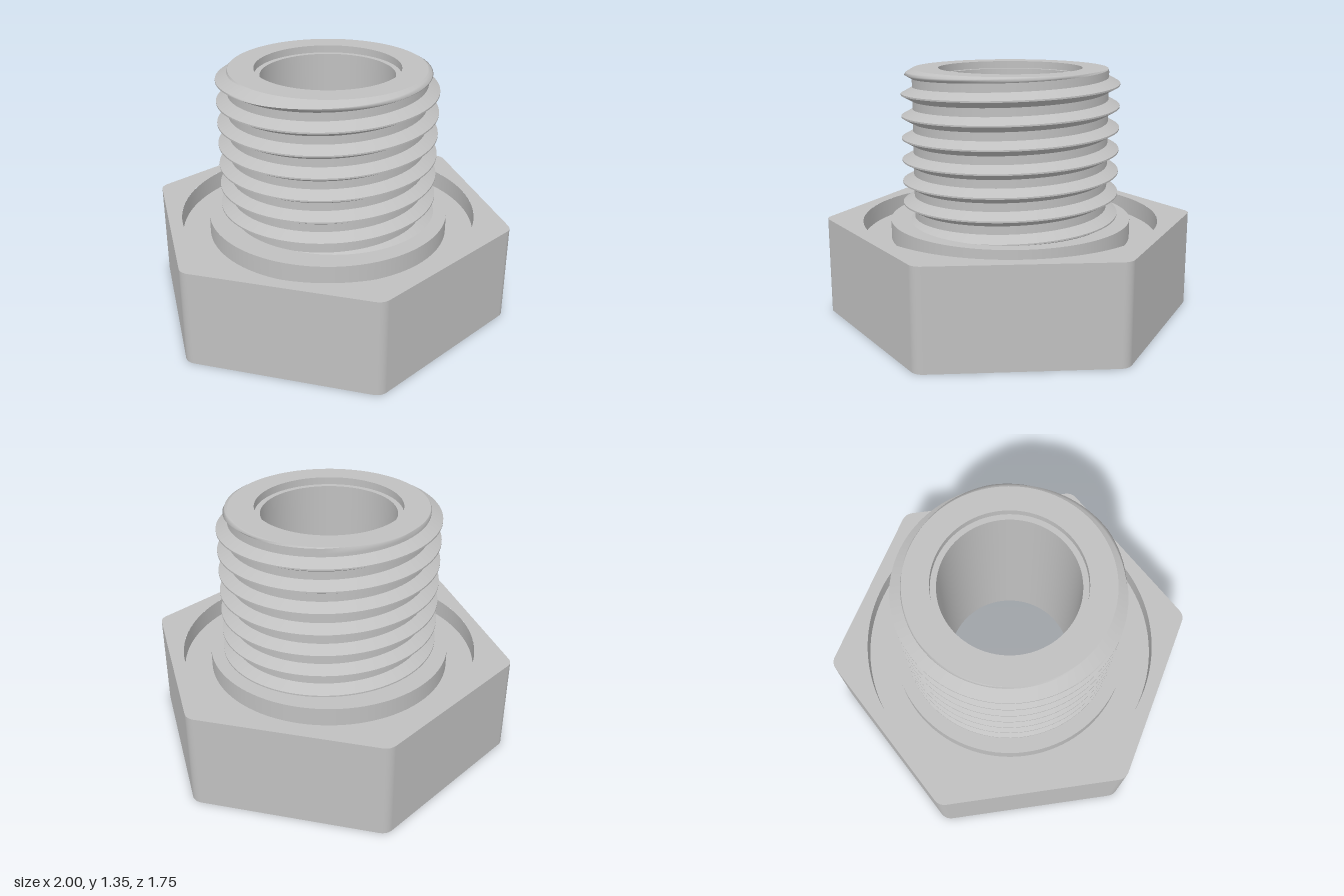
import * as THREE from 'three';

const HEX_TOP = 0.53, TOP = 1.345;

function surface(name, positions, indices, material, normals) {
  const g = new THREE.BufferGeometry();
  g.setAttribute('position', new THREE.Float32BufferAttribute(positions, 3));
  g.setIndex(indices);
  if (normals) g.setAttribute('normal', new THREE.Float32BufferAttribute(normals, 3));
  else g.computeVertexNormals();
  const mesh = new THREE.Mesh(g, material);
  mesh.name = name;
  return mesh;
}

// Revolved faces with a sharp edge at every profile point
function turned(name, profile, material) {
  const group = new THREE.Group();
  group.name = name;
  for (let i = 0; i < profile.length - 1; i++) {
    const pts = [profile[i], profile[i + 1]].map(([r, y]) => new THREE.Vector2(r, y));
    const mesh = new THREE.Mesh(new THREE.LatheGeometry(pts, 96), material);
    mesh.name = name + 'Face' + (i + 1);
    group.add(mesh);
  }
  return group;
}

// Hexagon with rounded corners: points with their outward angle
function hexOutline() {
  const out = [], r = 0.067, d = 0.933;
  for (let c = 0; c < 6; c++) {
    const mid = c * Math.PI / 3;
    for (let k = 0; k <= 6; k++) {
      const a = mid + (k / 6 - 0.5) * Math.PI / 3;
      out.push({ x: d * Math.cos(mid) + r * Math.cos(a), y: d * Math.sin(mid) + r * Math.sin(a), a });
    }
  }
  return out;
}

function hexFace(name, outline, holeRadius, y, up, material) {
  const shape = new THREE.Shape(outline.map(p => new THREE.Vector2(p.x, p.y)));
  shape.holes.push(new THREE.Path().absarc(0, 0, holeRadius, 0, Math.PI * 2, true));
  const g = new THREE.ShapeGeometry(shape, 96);
  g.rotateX(up ? -Math.PI / 2 : Math.PI / 2);
  g.translate(0, y, 0);
  const mesh = new THREE.Mesh(g, material);
  mesh.name = name;
  return mesh;
}

function hexWall(outline, material) {
  const pos = [], nor = [], idx = [], n = outline.length;
  outline.forEach((p, i) => {
    for (const y of [0, HEX_TOP]) {
      pos.push(p.x, y, -p.y);
      nor.push(Math.cos(p.a), 0, -Math.sin(p.a));
    }
    const a = 2 * i, b = 2 * ((i + 1) % n);
    idx.push(a, b, b + 1, a, b + 1, a + 1);
  });
  return surface('hexSides', pos, idx, material, nor);
}

// Right-handed screw thread, cut flat at both ends and chamfered at the top
function thread(material) {
  const group = new THREE.Group();
  group.name = 'thread';
  const pitch = 0.1175, crestY = 1.248, half = 0.037, flat = 0.004, seg = 96, rows = 3;
  const crestAt = t => crestY + pitch * t; // t counts turns
  const radius = (t, y) => {
    const u = (y - crestAt(t)) / pitch;
    const d = Math.abs(u - Math.round(u)) * pitch;
    const ridge = THREE.MathUtils.clamp((half - d) / (half - flat), 0, 1);
    return Math.min(0.525 + 0.06 * ridge, 0.52 + (TOP - y) * 1.7);
  };
  const knots = [-half, -flat, flat, half, pitch - half];
  const names = ['lowerFlank', 'crest', 'upperFlank', 'root'];
  names.forEach((name, s) => {
    const pos = [], idx = [], w = rows + 1;
    for (let i = 0; i <= 9 * seg; i++) {
      const t = -7 + i / seg, a = t * Math.PI * 2;
      for (let j = 0; j <= rows; j++) {
        const offset = THREE.MathUtils.lerp(knots[s], knots[s + 1], j / rows);
        const y = THREE.MathUtils.clamp(crestAt(t) + offset, HEX_TOP, TOP);
        const r = radius(t, y);
        pos.push(r * Math.cos(a), y, -r * Math.sin(a));
      }
    }
    const height = v => pos[3 * v + 1];
    for (let i = 0; i < 9 * seg; i++) {
      for (let j = 0; j < rows; j++) {
        const a = i * w + j, b = a + w;
        for (const tri of [[a, b, b + 1], [a, b + 1, a + 1]]) {
          const ys = tri.map(height);
          if (Math.max(...ys) - Math.min(...ys) > 1e-6) idx.push(...tri);
        }
      }
    }
    group.add(surface(name, pos, idx, material));
  });
  return group;
}

export function createModel() {
  const steel = new THREE.MeshStandardMaterial({ color: 0xc0c0c0 });
  steel.name = 'greySteel';
  const model = new THREE.Group();
  model.name = 'threadedHexFitting';

  // Hexagonal head
  const outline = hexOutline();
  const head = new THREE.Group();
  head.name = 'hexHead';
  head.add(
    hexWall(outline, steel),
    hexFace('hexTop', outline, 0.805, HEX_TOP, true, steel),
    hexFace('hexBottom', outline, 0.52, 0, false, steel),
    // Ring groove and the collar around the thread
    turned('sealGroove', [[0.805, 0.53], [0.805, 0.43], [0.655, 0.43], [0.655, 0.53], [0.52, 0.53]], steel)
  );

  // End face, through bore and the wide recess underneath
  const bore = turned('bore', [
    [0.52, TOP], [0.385, TOP], [0.385, 1.305], [0.355, 1.305],
    [0.355, 0.235], [0.52, 0.235], [0.52, 0]
  ], steel);

  model.add(head, thread(steel), bore);
  return model;
}
